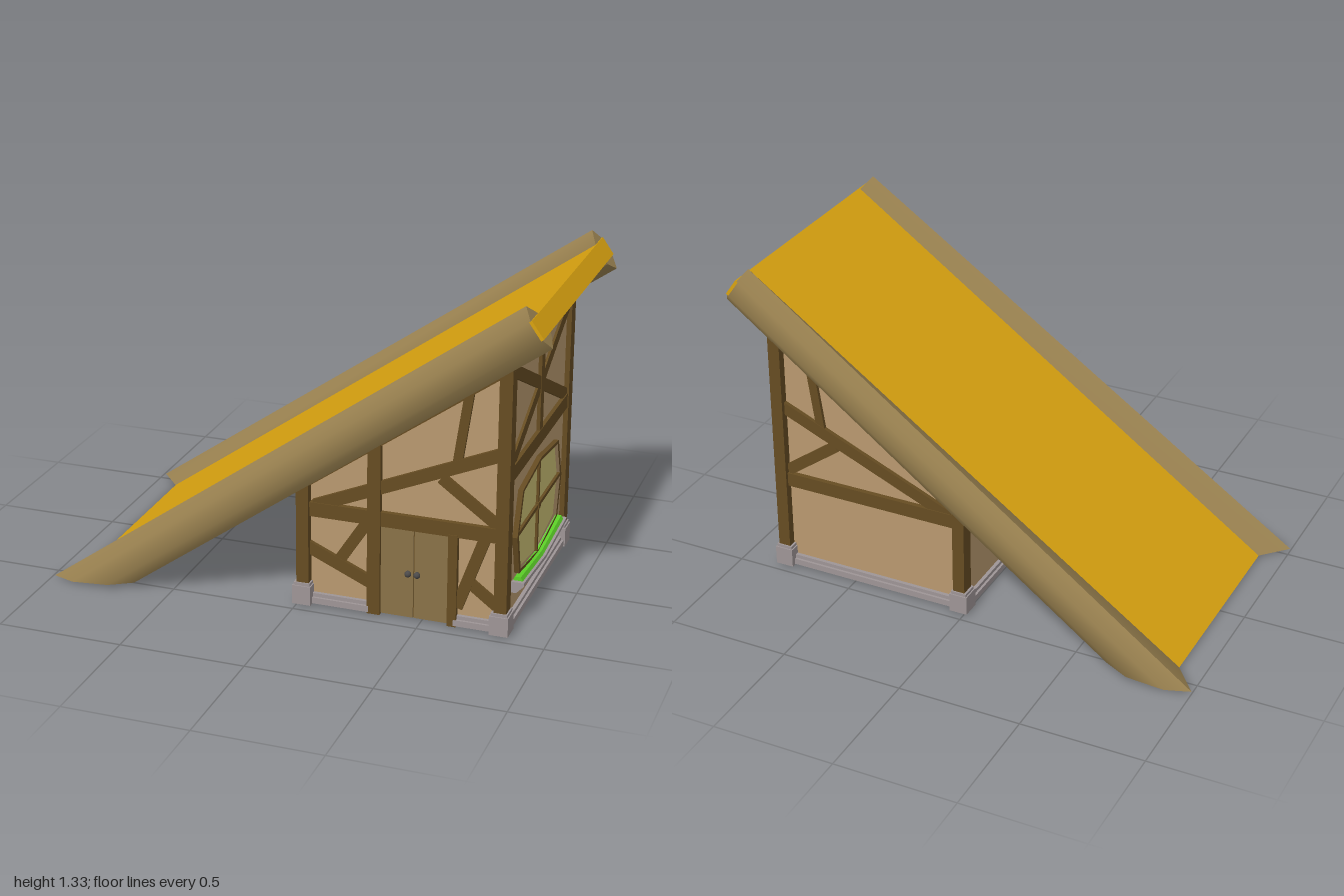
import * as THREE from 'three';
import { mergeGeometries, toCreasedNormals } from 'three/addons/utils/BufferGeometryUtils.js';

const mat = (name, color, side = THREE.FrontSide) =>
  Object.assign(new THREE.MeshStandardMaterial({ color, side }), { name });
const M = {
  thatch: mat('roof yellow', 0xd8a210),
  log: mat('roof log brown', 0x98804f),
  beam: mat('beam brown', 0x664c22),
  wall: mat('plaster tan', 0xb9996f),
  stone: mat('stone grey', 0x9e9596),
  door: mat('door brown', 0x8a7248),
  glass: mat('glass yellow', 0xcabf74),
  plant: mat('plant green', 0x5cd028),
  iron: mat('iron grey', 0x4c4a4a),
};

// roof line: s is the slope, n is the height measured square to it
const SLOPE = 0.708, LEN = Math.hypot(1, SLOPE), UX = -SLOPE / LEN, UY = 1 / LEN;
const roofY = (x, n) => 1.19 + (x - 0.99) * SLOPE + n / UY;
const upperEnd = (n, z, ext = 0) => [0.99 + UX * n + ext / LEN, 1.19 + UY * n + (ext * SLOPE) / LEN, z];
function lowerEnd(n, z) {
  // nearly level cut at the eaves: y = 0.005 + 0.07 (x + 1)
  const x = (0.075 - roofY(0, n)) / (SLOPE - 0.07);
  return [x, 0.075 + 0.07 * x, z];
}

function add(group, name, geo, material) {
  const mesh = new THREE.Mesh(geo, material);
  mesh.name = name;
  group.add(mesh);
  return mesh;
}

function box(group, name, x0, x1, y0, y1, z0, z1, material) {
  const geo = new THREE.BoxGeometry(x1 - x0, y1 - y0, z1 - z0);
  geo.translate((x0 + x1) / 2, (y0 + y1) / 2, (z0 + z1) / 2);
  return add(group, name, geo, material);
}

// straight timber between two points of a panel, lying at depth z0..z1
function timber(group, name, [ax, ay], [bx, by], width, z0, z1, material = M.beam) {
  const geo = new THREE.BoxGeometry(Math.hypot(bx - ax, by - ay), width, z1 - z0);
  geo.rotateZ(Math.atan2(by - ay, bx - ax));
  geo.translate((ax + bx) / 2, (ay + by) / 2, (z0 + z1) / 2);
  return add(group, name, geo, material);
}

// closed solid between two rings, with sharp end caps
function loft(a, b, crease) {
  const sides = [], caps = [], n = a.length;
  for (let i = 0; i < n; i++) {
    const j = (i + 1) % n;
    sides.push(...a[i], ...b[i], ...b[j], ...a[i], ...b[j], ...a[j]);
    if (i > 0 && j > 0) caps.push(...a[0], ...a[i], ...a[j], ...b[0], ...b[j], ...b[i]);
  }
  const make = (p) => {
    const g = new THREE.BufferGeometry();
    g.setAttribute('position', new THREE.Float32BufferAttribute(p, 3));
    g.computeVertexNormals();
    return g;
  };
  return mergeGeometries([toCreasedNormals(make(sides), crease), make(caps)]);
}

function buildRoof(root) {
  const roof = new THREE.Group();
  roof.name = 'roof';
  const slab = [[0.13, 1], [0.05, 1], [0.05, -1], [0.13, -1]];
  add(roof, 'roofSlab', loft(slab.map(([n, s]) => upperEnd(n, s * 0.53, 0.006)),
    slab.map(([n, s]) => lowerEnd(n, s * 0.56)), 0.1), M.thatch);
  // edge logs: height, z at the top, z at the eaves
  const section = [[0.18, 0.487, 0.545], [0.13, 0.53, 0.588], [0.05, 0.53, 0.588],
    [0, 0.49, 0.545], [0.04, 0.43, 0.43], [0.13, 0.43, 0.43]];
  for (const s of [1, -1]) {
    const ring = s > 0 ? section : [...section].reverse();
    add(roof, 'edgeLog', loft(ring.map(([n, z]) => upperEnd(n, s * z)),
      ring.map(([n, , z]) => lowerEnd(n, s * z)), 1.1), M.log);
  }
  root.add(roof);
}

function buildBody(root) {
  const s = new THREE.Shape([[0.02, 0.018], [0.82, 0.018], [0.82, roofY(0.82, 0.07)], [0.02, roofY(0.02, 0.07)]]
    .map((p) => new THREE.Vector2(...p)));
  const geo = new THREE.ExtrudeGeometry(s, { depth: 0.85, bevelEnabled: false });
  geo.translate(0, 0, -0.425);
  add(root, 'walls', geo, M.wall);

  // corner posts on stone feet
  for (const z of [-0.429, 0.429]) {
    for (const x of [0.025, 0.815]) {
      box(root, 'cornerPost', x - 0.025, x + 0.025, 0.05, roofY(x, 0.07), z - 0.029, z + 0.029, M.beam);
      box(root, 'stoneFoot', x - 0.039, x + 0.036, 0.012, 0.09, z - 0.04, z + 0.04, M.stone);
      box(root, 'stoneFootTop', x - 0.034, x + 0.031, 0.09, 0.102, z - 0.035, z + 0.035, M.stone);
    }
  }
  // stepped plinth; the front leaves a gap for the door
  const runs = [[0.05, 0.29, 1], [0.63, 0.79, 1], [0.05, 0.79, -1]];
  for (const [x0, x1, side] of runs) {
    for (const [y0, y1, d] of [[0.015, 0.04, 0.45], [0.04, 0.055, 0.44]]) {
      const zs = [side * 0.4, side * d].sort((p, q) => p - q);
      box(root, 'plinth', x0, x1, y0, y1, ...zs, M.stone);
    }
  }
  for (const [y0, y1, d] of [[0.015, 0.04, 0.025], [0.04, 0.055, 0.015]]) {
    box(root, 'rightPlinth', 0.8, 0.82 + d, y0, y1, -0.4, 0.4, M.stone);
    box(root, 'leftPlinth', 0.02 - d, 0.04, y0, y1, -0.4, 0.4, M.stone);
  }
  box(root, 'leftBeam', 0, 0.04, 0.38, 0.44, -0.41, 0.41, M.beam);
}

// timbers shared by the front and the back
function buildGable(root, side) {
  const g = new THREE.Group();
  g.name = side > 0 ? 'frontTimbers' : 'backTimbers';
  const [z0, z1] = side > 0 ? [0.4, 0.445] : [-0.445, -0.4];
  const t = (name, a, b, w, trim = 0) => timber(g, name, a, b, w, z0 + trim, z1 - trim);
  t('midBeam', [0.02, 0.41], [0.82, 0.41], 0.058);
  t('rafter', [0.03, roofY(0.03, 0.02)], [0.82, roofY(0.82, 0.02)], 0.07, 0.002);
  t('longBrace', [0.07, 0.425], [0.8, 0.735], 0.05, 0.004);
  t('shortBrace', [0.57, 0.61], [0.79, 0.45], 0.045, 0.006);
  t('upperBrace', [0.63, 0.67], [0.672, 0.96], 0.036, 0.006);
  if (side > 0) {
    t('doorPost', [0.31, 0.01], [0.31, 0.74], 0.052, -0.004);
    t('doorPost', [0.623, 0.01], [0.623, 0.39], 0.036, -0.004);
    t('lowerBrace', [0.04, 0.25], [0.3, 0.135], 0.05, 0.004);
    t('lowerBrace', [0.28, 0.385], [0.165, 0.205], 0.045, 0.006);
    t('lowerBrace', [0.745, 0.39], [0.64, 0.09], 0.045, 0.004);
    t('lowerBrace', [0.68, 0.205], [0.8, 0.115], 0.045, 0.006);
  }
  root.add(g);
}

function buildDoor(root) {
  const door = new THREE.Group();
  door.name = 'door';
  for (const s of [-1, 1]) {
    const c = 0.468 + s * 0.068;
    box(door, 'doorLeaf', c - 0.066, c + 0.066, 0.015, 0.385, 0.4, 0.436, M.door);
    const knob = add(door, 'doorHandle', new THREE.SphereGeometry(0.013, 10, 8), M.iron);
    knob.position.set(0.465 + s * 0.018, 0.2, 0.444);
  }
  box(door, 'doorGap', 0.464, 0.472, 0.015, 0.385, 0.4, 0.43, M.beam);
  root.add(door);
}

// right side, built facing +z and then turned to +x
function buildWindowSide(root) {
  const g = new THREE.Group();
  g.name = 'windowSide';
  g.rotation.y = Math.PI / 2;
  timber(g, 'topBeam', [-0.41, 1.1], [0.41, 1.1], 0.058, 0.79, 0.836);
  timber(g, 'middleBeam', [-0.41, 0.648], [0.41, 0.648], 0.06, 0.79, 0.836);
  timber(g, 'centrePost', [0, 0.65], [0, 1.1], 0.044, 0.79, 0.834);
  for (const s of [-1, 1])
    timber(g, 'crossBrace', [-0.41 * s, 1.06], [0.41 * s, 0.67], 0.048, 0.79, 0.831 + s * 0.001);

  // faceted window
  const half = [[0, 0.563], [0.265, 0.53], [0.328, 0.36], [0.285, 0.195], [0, 0.157]];
  const outline = [...half, ...half.slice(1, 4).reverse().map(([x, y]) => [-x, y])];
  const points = (k) => outline.map(([x, y]) => new THREE.Vector2(x * k, 0.36 + (y - 0.36) * k));
  const frame = new THREE.Shape(points(1));
  frame.holes.push(new THREE.Path(points(0.935)));
  const frameGeo = new THREE.ExtrudeGeometry(frame, { depth: 0.03, bevelEnabled: false });
  add(g, 'windowFrame', frameGeo, M.beam).position.z = 0.81;
  const glassGeo = new THREE.ExtrudeGeometry(new THREE.Shape(points(0.95)), { depth: 0.008, bevelEnabled: false });
  add(g, 'windowGlass', glassGeo, M.glass).position.z = 0.817;
  box(g, 'windowBar', -0.32, 0.32, 0.352, 0.368, 0.815, 0.836, M.beam);
  box(g, 'windowBar', -0.008, 0.008, 0.165, 0.555, 0.815, 0.835, M.beam);
  box(g, 'windowBoss', -0.014, 0.014, 0.346, 0.374, 0.815, 0.839, M.beam);
  root.add(g);

  // bent flower box with plants
  const ring = (z, h) => [[0.87, h], [0.815, h], [0.815, h - 0.045], [0.84, h - 0.045], [0.87, h - 0.014]]
    .map(([x, y]) => [x, y, z]);
  const leaves = (z, h) => [[0.862, h - 0.005], [0.852, h + 0.014], [0.828, h + 0.014], [0.82, h - 0.005]]
    .map(([x, y]) => [x, y, z]);
  for (const [name, f, z, m] of [['flowerBox', ring, 0.325, M.stone], ['plants', leaves, 0.305, M.plant]]) {
    add(root, name, loft(f(z, 0.175), f(0, 0.15), 0.2), m);
    add(root, name, loft(f(0, 0.15), f(-z, 0.175), 0.2), m);
  }
}

export function createModel() {
  const root = new THREE.Group();
  root.name = 'slantRoofHouse';
  buildRoof(root);
  buildBody(root);
  buildGable(root, 1);
  buildGable(root, -1);
  buildDoor(root);
  buildWindowSide(root);
  return root;
}
